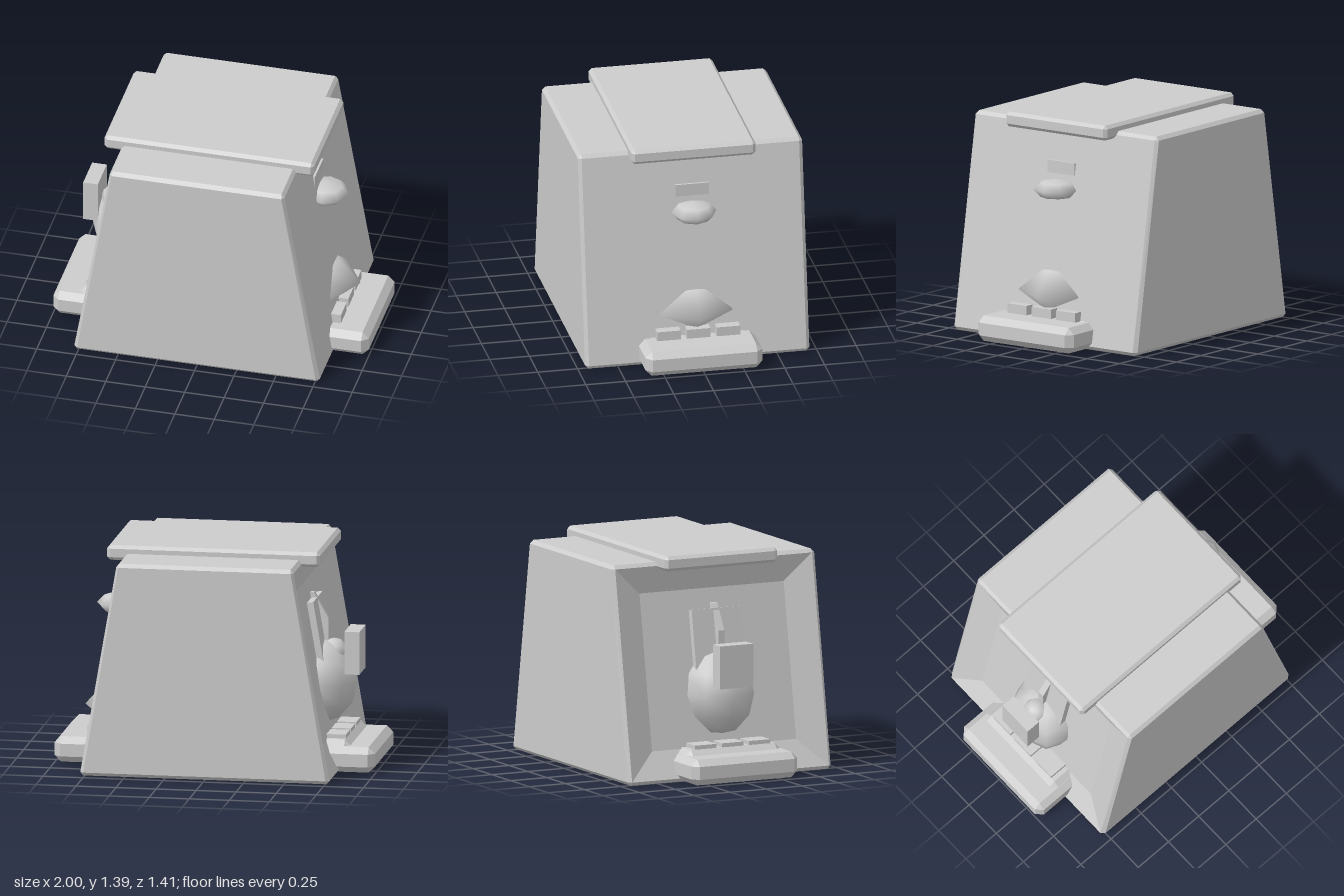
import * as THREE from 'three';
import { ConvexGeometry } from 'three/addons/geometries/ConvexGeometry.js';

const H = 1.34, HZ = 0.705, C = 0.022;
const halfWidth = (y) => 0.782 - (0.232 * y) / H; // body narrows upward

// Box with chamfered edges, optionally reshaped by warp(point)
function chamferBox(x0, x1, y0, y1, z0, z1, c, warp) {
  const pts = [];
  for (const [x, sx] of [[x0, 1], [x1, -1]])
    for (const [y, sy] of [[y0, 1], [y1, -1]])
      for (const [z, sz] of [[z0, 1], [z1, -1]])
        pts.push(
          new THREE.Vector3(x, y + sy * c, z + sz * c),
          new THREE.Vector3(x + sx * c, y, z + sz * c),
          new THREE.Vector3(x + sx * c, y + sy * c, z));
  if (warp) pts.forEach(warp);
  return new ConvexGeometry(pts);
}

// Tapered body whose -x wall is replaced by a sunken panel
function bodyGeometry() {
  const hull = chamferBox(-0.782, 0.782, 0, H, -HZ, HZ, C, (p) => { p.x *= halfWidth(p.y) / 0.782; });
  const src = hull.toNonIndexed ? (hull.index ? hull.toNonIndexed() : hull) : hull;
  const pos = src.attributes.position, out = [];
  const tri = new THREE.Triangle(), n = new THREE.Vector3();
  for (let i = 0; i < pos.count; i += 3) {
    tri.setFromAttributeAndIndices(pos, i, i + 1, i + 2);
    tri.getNormal(n);
    if (n.x < -0.9) continue;
    for (const p of [tri.a, tri.b, tri.c]) out.push(p.x, p.y, p.z);
  }
  const loop = (y0, y1, z, depth) => [[y0, -z], [y0, z], [y1, z], [y1, -z]]
    .map(([y, w]) => [-halfWidth(y) + depth, y, w]);
  const outer = loop(C, H - C, HZ - C, 0), inner = loop(0.19, 1.15, 0.5, 0.058);
  const quad = (a, b, c, d) => out.push(...a, ...b, ...c, ...a, ...c, ...d);
  for (let i = 0; i < 4; i++) {
    const j = (i + 1) % 4;
    quad(outer[i], outer[j], inner[j], inner[i]);
  }
  quad(...inner);
  const g = new THREE.BufferGeometry();
  g.setAttribute('position', new THREE.Float32BufferAttribute(out, 3));
  g.computeVertexNormals();
  return g;
}

export function createModel() {
  const group = new THREE.Group();
  const grey = new THREE.MeshStandardMaterial({ color: 0xcccccc });
  grey.name = 'grey';
  const add = (name, geometry, x = 0, y = 0, z = 0) => {
    const m = new THREE.Mesh(geometry, grey);
    m.name = name;
    m.position.set(x, y, z);
    group.add(m);
    return m;
  };
  const box = (name, x0, x1, y0, y1, z0, z1) =>
    add(name, new THREE.BoxGeometry(x1 - x0, y1 - y0, z1 - z0), (x0 + x1) / 2, (y0 + y1) / 2, (z0 + z1) / 2);

  add('body', bodyGeometry());
  add('topSlab', chamferBox(-0.665, 0.665, 1.295, 1.388, -0.39, 0.39, 0.02));

  // Trays with a raised strip and three keys on both sides
  for (const s of [-1, 1]) {
    const span = (a, b) => (s > 0 ? [a, b] : [-b, -a]);
    add('tray', chamferBox(...span(0.6, 1), 0.005, 0.165, -0.367, 0.367, 0.04));
    const strip = s > 0 ? 0.775 : 0.84;
    add('keyStrip', chamferBox(...span(0.62, strip), 0.1, s > 0 ? 0.182 : 0.2, -0.325, 0.325, 0.035));
    for (const z of [-0.187, 0, 0.187])
      box('key', ...span(0.68, 0.806), 0.15, 0.224, z - 0.074, z + 0.074);
  }

  // Right side: flattened knob, small plate above it, faceted bowl below
  add('knob', new THREE.SphereGeometry(0.142, 8, 4), 0.65, 0.947).scale.y = 0.45;
  box('browPlate', 0.55, 0.604, 1.035, 1.112, -0.105, 0.105);
  const profile = [[0, 0.15], [0.11, 0.17], [0.265, 0.305], [0.14, 0.445], [0, 0.455]];
  const bowl = new THREE.LatheGeometry(profile.map(([r, y]) => new THREE.Vector2(r, y)), 6, Math.PI / 2);
  add('bowl', bowl, 0.6);

  // Left side: bulb, neck and block in front of a backing plate and fin
  add('bulb', new THREE.SphereGeometry(1, 8, 6), -0.6, 0.51).scale.set(0.235, 0.27, 0.24);
  add('neck', new THREE.SphereGeometry(0.085, 8, 6), -0.69, 0.69);
  box('frontBlock', -0.865, -0.772, 0.572, 0.84, -0.118, 0.112);
  const plate = box('backingPlate', -0.625, -0.575, 0.58, 1.03, -0.17, 0.17);
  plate.rotation.z = -0.17;
  const fin = new THREE.Shape([[-0.5, 0.7], [-0.5, 1.06], [-0.565, 1.06], [-0.656, 0.9], [-0.656, 0.7]]
    .map(([x, y]) => new THREE.Vector2(x, y)));
  add('fin', new THREE.ExtrudeGeometry(fin, { depth: 0.04, bevelEnabled: false }), 0, 0, -0.02);
  return group;
}
